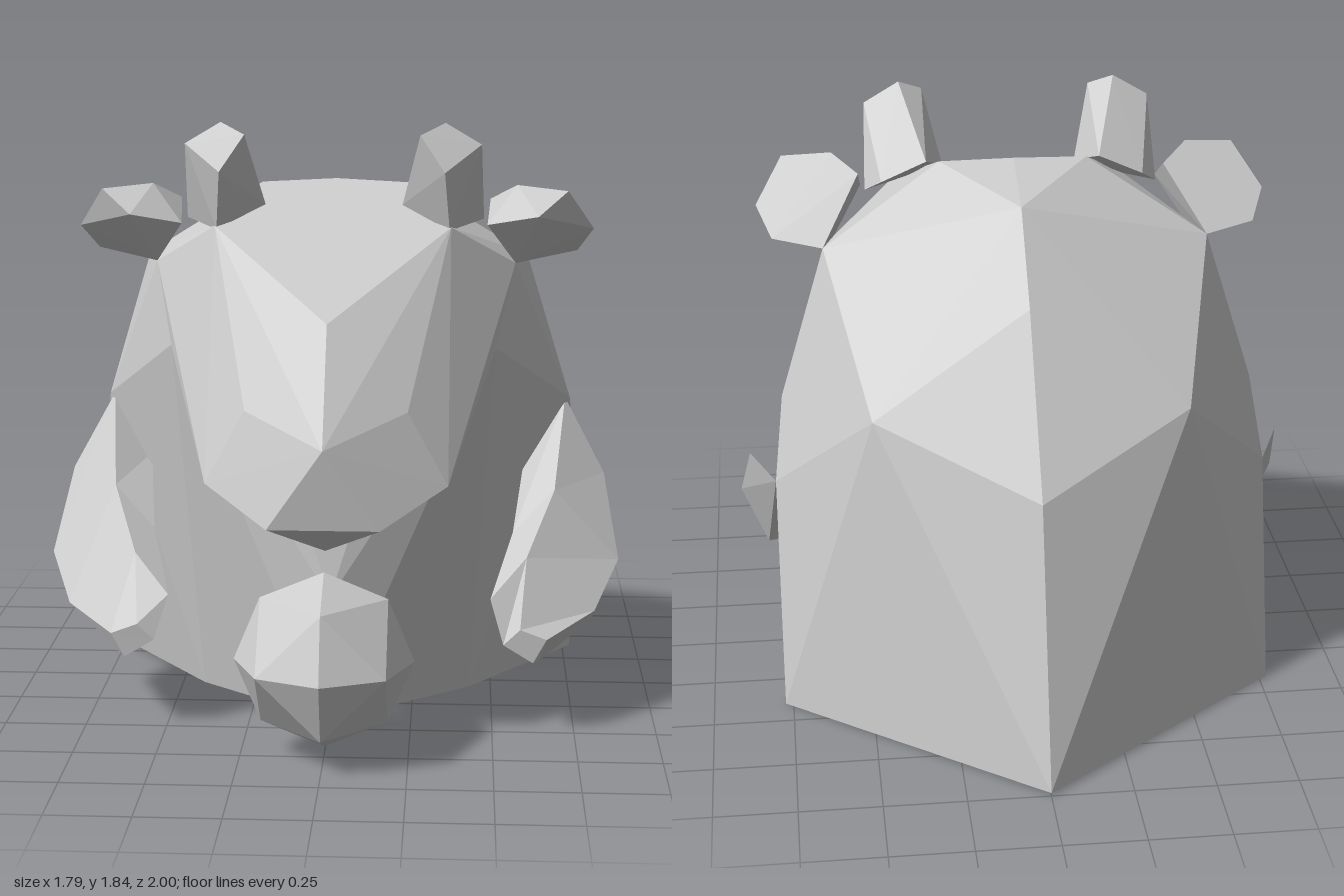
import * as THREE from 'three';
import { ConvexGeometry } from 'three/addons/geometries/ConvexGeometry.js';

const grey = new THREE.MeshStandardMaterial({ color: 0xcccccc, flatShading: true });
const flip = ([x, y, z]) => [-x, y, z];

// Adds the mirror image of every point that is off the centre plane
const mirrored = (points) => points.flatMap((p) => (p[0] === 0 ? [p] : [p, flip(p)]));

// Faceted solid wrapped tightly around a few corner points
function hull(name, points) {
  const mesh = new THREE.Mesh(new ConvexGeometry(points.map((p) => new THREE.Vector3(...p))), grey);
  mesh.name = name;
  return mesh;
}

// Faceted limb through a chain of equal-sized cross-sections, closed at its far end
function limb(name, sections) {
  const pos = [];
  const tri = (...corners) => corners.forEach((c) => pos.push(...c));
  const n = sections[0].length;
  for (let i = 0; i < sections.length - 1; i++) {
    for (let j = 0; j < n; j++) {
      const k = (j + 1) % n;
      const [a, b, c, d] = [sections[i][j], sections[i][k], sections[i + 1][k], sections[i + 1][j]];
      tri(a, d, b);
      tri(b, d, c);
    }
  }
  const end = sections[sections.length - 1];
  for (let j = 1; j < n - 1; j++) tri(end[0], end[j + 1], end[j]);
  const geo = new THREE.BufferGeometry();
  geo.setAttribute('position', new THREE.Float32BufferAttribute(pos, 3));
  geo.computeVertexNormals();
  const mesh = new THREE.Mesh(geo, grey);
  mesh.name = name;
  return mesh;
}

export function createModel() {
  const model = new THREE.Group();
  model.name = 'creature';

  // Corners shared by head and body
  const crown = [[0, 1.645, 0.04], [0.23, 1.635, 0.06]];
  const templeFront = [0.36, 1.52, 0.27];
  const templeSide = [0.56, 1.39, 0.1];
  const jaw = [0.5, 1.15, 0.26];

  // Hunched body: hexagonal base, sides, curved spine, neck
  model.add(hull('body', mirrored([
    [0, 0, 0.42], [0.43, 0, 0.07], [0.775, 0, -0.4], [0, 0.01, -1],
    [0, 0.4, 0.445], [0, 0.74, 0.37],
    [0.775, 0.69, -0.2], [0.745, 0.93, -0.085], [0.48, 1.01, -0.49], [0.6, 1.4, -0.04],
    [0, 0.84, -0.75], [0, 1.32, -0.41], [0, 1.56, -0.18],
    ...crown, templeFront, templeSide, jaw,
  ])));

  // Head with a muzzle hanging forward over the chest
  model.add(hull('head', mirrored([
    ...crown, templeFront, templeSide, jaw,
    [0, 1.27, 0.58], [0.24, 1.02, 0.63], [0.36, 0.8, 0.63],
    [0, 0.94, 0.81], [0.165, 0.7, 0.785], [0, 0.61, 0.67], [0, 0.74, 0.37],
  ])));

  const horn = [
    [0.355, 1.51, 0.27], [0.21, 1.58, 0.2], [0.27, 1.635, 0.06], [0.41, 1.57, 0.07], [0.46, 1.53, 0.12],
    [0.34, 1.69, 0.33], [0.265, 1.8, 0.3], [0.34, 1.835, 0.26], [0.45, 1.77, 0.26],
  ];
  const ear = [
    [0.6, 1.4, -0.04], [0.56, 1.39, 0.1], [0.47, 1.52, 0.2], [0.48, 1.59, 0.1],
    [0.755, 1.42, 0.01], [0.8, 1.5, 0.1], [0.715, 1.625, 0.2], [0.56, 1.64, 0.17], [0.625, 1.55, 0.24],
  ];
  // Arm sections from shoulder to hand: top, outer, lower, inner
  const arm = [
    [[0.73, 0.93, -0.085], [0.855, 0.7, -0.01], [0.775, 0.69, -0.2], [0.6, 0.75, 0]],
    [[0.69, 0.69, 0.2], [0.893, 0.47, 0.2], [0.81, 0.27, 0.2], [0.56, 0.57, 0.27]],
    [[0.6, 0.53, 0.42], [0.81, 0.36, 0.4], [0.64, 0.195, 0.4], [0.49, 0.42, 0.5]],
    [[0.58, 0.34, 0.55], [0.66, 0.31, 0.55], [0.62, 0.235, 0.545], [0.53, 0.29, 0.545]],
  ];
  model.add(hull('leftHorn', horn), hull('rightHorn', horn.map(flip)));
  model.add(hull('leftEar', ear), hull('rightEar', ear.map(flip)));
  model.add(limb('leftArm', arm), limb('rightArm', arm.map((s) => s.map(flip).reverse())));

  // Faceted ball in front of the body
  const ball = new THREE.Mesh(new THREE.OctahedronGeometry(0.267, 1), grey);
  ball.name = 'ball';
  ball.position.set(0, 0.295, 0.733);
  model.add(ball);

  return model;
}
